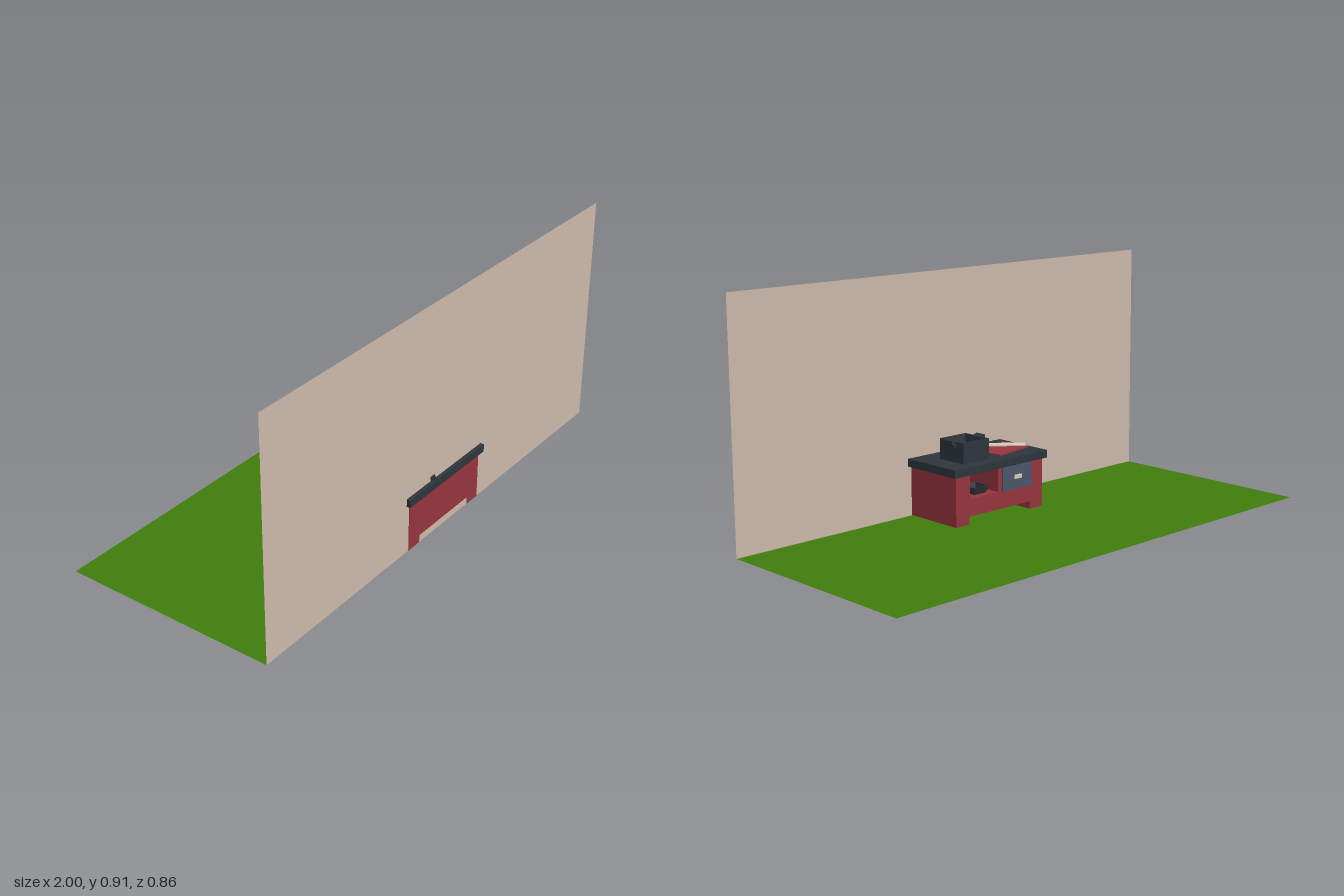
import * as THREE from 'three';

const mat = (name, color, side = THREE.FrontSide) => {
  const m = new THREE.MeshStandardMaterial({ color, side });
  m.name = name;
  return m;
};

export function createModel() {
  const red = mat('red', 0x97343f);
  const dark = mat('charcoal', 0x2d363c);
  const steel = mat('slate', 0x4c576b);
  const bone = mat('bone', 0xd8cabb);
  const silver = mat('silver', 0x9a9fa6);
  const green = mat('green', 0x417d0e, THREE.DoubleSide);
  const beige = mat('beige', 0xcbb9aa, THREE.DoubleSide);

  const model = new THREE.Group();
  const add = (name, geo, material, x = 0, y = 0, z = 0, ry = 0) => {
    const mesh = new THREE.Mesh(geo, material);
    mesh.name = name;
    mesh.position.set(x, y, z);
    mesh.rotation.y = ry;
    model.add(mesh);
    return mesh;
  };
  const box = (name, material, w, h, d, x, y, z, ry = 0) =>
    add(name, new THREE.BoxGeometry(w, h, d), material, x, y, z, ry);
  const polygon = (pts) => new THREE.Shape(pts.map(([x, y]) => new THREE.Vector2(x, y)));
  const extrude = (shape, depth) => new THREE.ExtrudeGeometry(shape, { depth, bevelEnabled: false });

  // Square vessel: a four-sided lathe whose profile gives half-widths
  const vessel = (profile) => {
    const pts = profile.map(([half, y]) => new THREE.Vector2(half * Math.SQRT2, y));
    const geo = new THREE.LatheGeometry(pts, 4, Math.PI / 4).toNonIndexed();
    geo.computeVertexNormals();
    return geo;
  };

  // Ground and wall
  const ground = add('ground', new THREE.PlaneGeometry(2, 0.844), green, 0, 0, -0.009);
  ground.rotation.x = -Math.PI / 2;
  add('wall', new THREE.PlaneGeometry(2, 0.91), beige, 0, 0.455, 0.413);

  // Counter body with a foot arch through it and an open shelf at the back
  const outline = [[-0.22, 0.001], [-0.155, 0.001], [-0.155, 0.03], [0.155, 0.03],
    [0.155, 0.001], [0.22, 0.001], [0.22, 0.19], [-0.22, 0.19]];
  const open = polygon(outline);
  open.holes.push(new THREE.Path(
    [[0.01, 0.097], [0.01, 0.186], [0.152, 0.186], [0.152, 0.097]].map(([x, y]) => new THREE.Vector2(x, y))));
  add('counterBody', extrude(open, 0.22), red, 0, 0, 0.165);
  add('counterFrontPanel', extrude(polygon(outline), 0.03), red, 0, 0, 0.385);
  box('counterTop', dark, 0.47, 0.03, 0.276, 0, 0.205, 0.29);

  // Drawer and its pull
  box('drawer', steel, 0.147, 0.095, 0.008, -0.083, 0.1425, 0.162);
  box('drawerPull', bone, 0.035, 0.015, 0.007, -0.083, 0.143, 0.1555);

  // Pan on the shelf
  add('shelfPan', vessel([[0, 0], [0.028, 0], [0.038, 0.028], [0.033, 0.028], [0.025, 0.005], [0, 0.005]]),
    dark, 0.075, 0.098, 0.22);

  // Cooking pot with a slanted handle on each side
  const pot = [0.085, 0.22, 0.266];
  add('pot', vessel([[0, 0], [0.064, 0], [0.064, 0.078], [0.055, 0.078], [0.045, 0.012], [0, 0.012]]),
    dark, ...pot);
  const handle = extrude(polygon([[0, 0.055], [0.02, 0.07], [0.02, 0.083], [0, 0.078]]), 0.046);
  handle.translate(0.063, 0, -0.023);
  for (const [name, turn] of [['potHandleLeft', 0], ['potHandleRight', Math.PI]])
    add(name, handle, dark, ...pot, turn);

  // Cutting board and knife
  box('cuttingBoard', red, 0.19, 0.006, 0.127, -0.117, 0.223, 0.281, 0.18);
  const angle = -0.72;
  box('knifeBlade', bone, 0.155, 0.004, 0.044, -0.16, 0.228, 0.305, angle);
  box('knifeTip', silver, 0.03, 0.003, 0.025, -0.213, 0.2275, 0.246, angle);
  box('knifeHandle', dark, 0.042, 0.015, 0.045, -0.078, 0.2305, 0.395, angle);

  return model;
}
